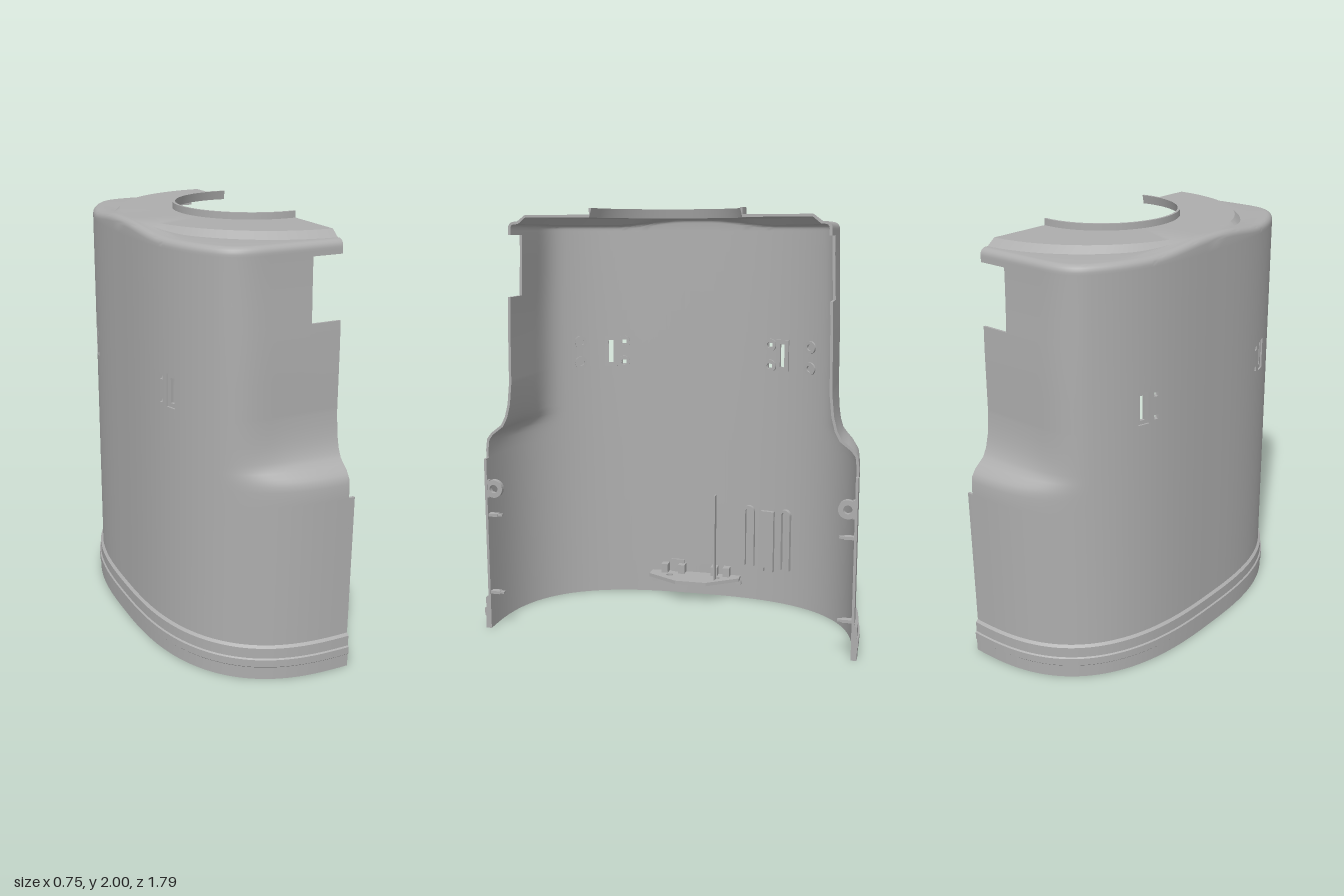
import * as THREE from 'three';
import { toCreasedNormals } from 'three/addons/utils/BufferGeometryUtils.js';

const A = 0.725, B = 0.875, P = 2.7, CX = 0.37, WALL = 0.012;
const F_TOP = 1 - 0.03 / A, F_NOTCH = 1 - 0.17 / A;
const smooth = THREE.MathUtils.smoothstep;

// plan curve: f = 0 at the middle of the curved wall, 1 at the open edge
const curveZ = (f, b) => b * Math.pow(Math.max(0, 1 - Math.pow(1 - f, P)), 1 / P);
const fOfZ = (z) => 1 - Math.pow(1 - Math.pow(Math.abs(z) / B, P), 1 / P);
const wallX = (z) => CX - A * (1 - fOfZ(z)) + WALL;

// how far the upper body is pinched in, by height
const pinchSteps = [[0.88, 0], [0.93, 0.05], [0.96, 0.22], [1.0, 0.62], [1.04, 0.78], [1.1, 0.9], [1.2, 0.98], [1.4, 1], [3, 1]];
function pinch(y) {
  if (y <= 0.88) return 0;
  const i = pinchSteps.findIndex((s) => s[0] >= y);
  const [y0, v0] = pinchSteps[i - 1], [y1, v1] = pinchSteps[i];
  return v0 + (v1 - v0) * (y - y0) / (y1 - y0);
}
function softMin(a, b, k) {
  const h = Math.max(k - Math.abs(a - b), 0) / k;
  return Math.min(a, b) - h * h * k / 4;
}
function outline(f, y, off) {
  const z = curveZ(f, B + off);
  const limit = 0.747 - 0.014 * smooth(y, 1.4, 1.9) + off;
  return [CX - (A + off) * (1 - f), z + (softMin(z, limit, 0.08) - z) * pinch(y)];
}
const shoulderY = (z) => 1.97 - 0.03 * smooth(z, 0.05, 0.42);

// rows of the shell from the foot to the collar; each maps f to [x, y, z],
// swell thickens the wall outwards for the foot bands
function shellRows() {
  const rows = [];
  const wall = (y, swell = 0) => rows.push({ y, swell, at: (f) => { const [x, z] = outline(f, y, 0); return [x, y, z]; } });
  [[0, 0.015], [0.06, 0.015], [0.065, 0.02], [0.1, 0.02], [0.105, 0.013], [0.155, 0.013], [0.165, 0]].forEach((r) => wall(...r));
  [0.5, 0.84, 0.88, 0.905, 0.93, 0.945, 0.96, 0.98, 1, 1.02, 1.04, 1.07, 1.1, 1.15, 1.2, 1.215, 1.225, 1.245,
    1.33, 1.35, 1.365, 1.4, 1.5, 1.6, 1.7, 1.8, 1.88, 1.9].forEach((y) => wall(y));
  const R = 0.03;
  for (let k = 0; k <= 5; k++) {
    const a = k / 5 * Math.PI / 2;
    rows.push({ y: 1.95, swell: 0, at: (f) => {
      const [x, z] = outline(f, 1.9, -R * (1 - Math.cos(a)));
      return [x, shoulderY(z) - R + R * Math.sin(a), z];
    } });
  }
  const ellipse = (a, b, raised) => rows.push({ y: 1.96, swell: 0, at: (f) => {
    const g = 1 - Math.min(1, f / F_TOP), z = b * Math.sqrt(1 - g * g);
    return [0.34 - a * g, raised ? 1.97 : shoulderY(z), z];
  } });
  ellipse(0.66, 0.69, false);
  ellipse(0.64, 0.65, true);
  for (const y of [1.97, 2]) rows.push({ y, swell: 0, at: (f) => {
    const x = -0.06 + 0.4 * Math.min(1, f / F_TOP);
    return [x, y, Math.sqrt(Math.max(0, 0.1225 - (x - 0.29) ** 2))];
  } });
  return rows;
}

// openings through the wall: [z0, z1, y0, y1], mirrored in z
const openings = [[0.42, 0.474, 1.215, 1.365], [0.372, 0.392, 1.225, 1.245], [0.372, 0.392, 1.33, 1.35]];

function shellGeometry() {
  const special = [0.372, 0.392, 0.42, 0.474].map(fOfZ).concat([F_NOTCH, F_TOP, 1]);
  const half = special.slice();
  for (let i = 1; i < 56; i++) {
    const f = 1 - Math.cos(i / 56 * Math.PI / 2);
    if (special.every((s) => Math.abs(s - f) > 0.003)) half.push(f);
  }
  half.sort((a, b) => a - b);
  const cols = [...half.map((f) => [f, -1]).reverse(), [0, 1], ...half.map((f) => [f, 1])];
  const rows = shellRows(), nR = rows.length, nC = cols.length;
  const core = rows.map((r) => cols.map(([f, s]) => {
    const [x, y, z] = r.at(f);
    return new THREE.Vector3(x, y, z * s);
  }));
  // both skins are set off from the core along its normal
  const normals = core.map((row, i) => row.map((p, j) => {
    const du = row[Math.min(j + 1, nC - 1)].clone().sub(row[Math.max(j - 1, 0)]);
    const dv = core[Math.min(i + 1, nR - 1)][j].clone().sub(core[Math.max(i - 1, 0)][j]);
    return du.cross(dv).normalize();
  }));
  const skin = (dist) => core.map((row, i) => row.map((p, j) => p.clone().addScaledVector(normals[i][j], dist(rows[i]))));
  const outer = skin((r) => r.swell), inner = skin(() => -WALL);
  const filled = (i, j) => {
    if (i < 0 || j < 0 || i >= nR - 1 || j >= nC - 1) return false;
    const y = (rows[i].y + rows[i + 1].y) / 2, f = (cols[j][0] + cols[j + 1][0]) / 2;
    const end = y < 0.84 ? 1 : y > 1.6 && y < 1.88 ? F_NOTCH : F_TOP;
    const z = curveZ(f, B);
    return f < end && !openings.some((o) => z > o[0] && z < o[1] && y > o[2] && y < o[3]);
  };
  const pos = [];
  const quad = (a, b, c, d) => [a, b, c, a, c, d].forEach((p) => pos.push(p.x, p.y, p.z));
  for (let i = 0; i < nR - 1; i++) for (let j = 0; j < nC - 1; j++) {
    if (!filled(i, j)) continue;
    const c = [[i, j], [i, j + 1], [i + 1, j + 1], [i + 1, j]];
    const o = c.map(([r, k]) => outer[r][k]), n = c.map(([r, k]) => inner[r][k]);
    quad(...o);
    quad(n[3], n[2], n[1], n[0]);
    // close the rim wherever the neighbouring patch is missing
    [[i - 1, j], [i, j + 1], [i + 1, j], [i, j - 1]].forEach(([r, k], e) => {
      const g = (e + 1) % 4;
      if (!filled(r, k)) quad(o[g], o[e], n[e], n[g]);
    });
  }
  const geo = new THREE.BufferGeometry();
  geo.setAttribute('position', new THREE.Float32BufferAttribute(pos, 3));
  return toCreasedNormals(geo, 0.6);
}

const rectPath = (Type, w, h) => new Type([[-w, -h], [w, -h], [w, h], [-w, h]].map(([x, y]) => new THREE.Vector2(x / 2, y / 2)));
const extrude = (shape, depth) => new THREE.ExtrudeGeometry(shape, { depth, bevelEnabled: false, curveSegments: 12 });
function ringGeometry(r, hole, depth) {
  const s = new THREE.Shape().absarc(0, 0, r, 0, Math.PI * 2);
  s.holes.push(new THREE.Path().absarc(0, 0, hole, 0, Math.PI * 2, true));
  return extrude(s, depth);
}
function frameGeometry(w, h, rim, depth) {
  const s = rectPath(THREE.Shape, w, h);
  s.holes.push(rectPath(THREE.Path, w - 2 * rim, h - 2 * rim));
  return extrude(s, depth);
}
function archGeometry(w, h, rim, depth) {
  const r = w / 2, q = r - rim, s = new THREE.Shape();
  s.moveTo(r, 0).lineTo(r, h - r).absarc(0, h - r, r, 0, Math.PI);
  s.lineTo(-r, 0).lineTo(-q, 0).lineTo(-q, h - r).absarc(0, h - r, q, Math.PI, 0, true);
  s.lineTo(q, 0);
  return extrude(s, depth);
}

export function createModel() {
  const group = new THREE.Group();
  const grey = new THREE.MeshStandardMaterial({ color: 0xadadad });
  grey.name = 'plain grey';
  const add = (name, geo, x, y, z) => {
    const m = new THREE.Mesh(geo, grey);
    m.name = name;
    m.position.set(x, y, z);
    group.add(m);
    return m;
  };
  // seat a part on the inner wall, its local +z pointing inwards
  const onWall = (name, geo, z, y) => {
    const slope = (wallX(z + 0.01) - wallX(z - 0.01)) / 0.02;
    add(name, geo, wallX(z) - 0.003, y, z).rotation.y = Math.atan2(1, -slope);
  };
  const box = (w, h, d) => new THREE.BoxGeometry(w, h, d);

  add('shell', shellGeometry(), 0, 0, 0);

  for (const s of [-1, 1]) {
    // mounting bosses and slot frame
    for (const y of [1.235, 1.34]) for (const z of [0.382, 0.592]) {
      onWall('boss', ringGeometry(0.031, 0.016, 0.015), s * z, y);
    }
    onWall('slotFrame', frameGeometry(0.066, 0.156, 0.021, 0.015), s * 0.447, 1.29);
    // screw lugs and clips along the open edge
    add('screwLug', ringGeometry(0.043, 0.02, 0.025), 0.343, 0.695, s * 0.832).rotation.y = Math.PI / 2;
    add('lugRoot', box(0.025, 0.085, 0.02), 0.355, 0.695, s * 0.864);
    for (const y of [0.18, 0.565]) {
      add('edgeClip', box(0.03, 0.014, 0.05), 0.35, y, s * 0.843);
      add('clipTip', box(0.02, 0.01, 0.025), 0.35, y, s * 0.81);
    }
  }

  // ribs beside the tall bar
  for (const z of [-0.282, -0.478]) onWall('archRib', archGeometry(0.06, 0.32, 0.013, 0.025), z, 0.185);
  onWall('tallBar', extrude(rectPath(THREE.Shape, 0.07, 0.3), 0.025), -0.383, 0.335);
  for (const z of [-0.358, -0.408]) onWall('barFoot', extrude(rectPath(THREE.Shape, 0.018, 0.03), 0.025), z, 0.18);

  // shelf bracket near the foot, with an upright blade
  const shelf = new THREE.Shape([[-0.345, -0.235], [-0.29, -0.235], [-0.18, -0.08], [-0.18, 0.08], [-0.27, 0.24], [-0.34, 0.24]]
    .map(([x, z]) => new THREE.Vector2(x, z)));
  for (const z of [-0.13, 0.12]) {
    shelf.holes.push(new THREE.Path().absarc(-0.27, -z, 0.018, 0, Math.PI * 2, true));
  }
  add('shelf', extrude(shelf, 0.018), 0, 0.118, 0).rotation.x = Math.PI / 2;
  add('blade', box(0.04, 0.455, 0.007), -0.247, 0.338, -0.115);
  for (const z of [0.165, 0.075, -0.1, -0.165]) add('shelfPost', box(0.05, 0.05, 0.035), -0.32, 0.14, z);
  add('shelfStop', box(0.012, 0.07, 0.07), -0.335, 0.15, 0.1);
  for (const z of [-0.22, 0, 0.22]) {
    add('shelfPeg', new THREE.CylinderGeometry(0.023, 0.023, 0.04, 16), -0.33, 0.082, z).rotation.z = Math.PI / 2;
  }
  return group;
}
